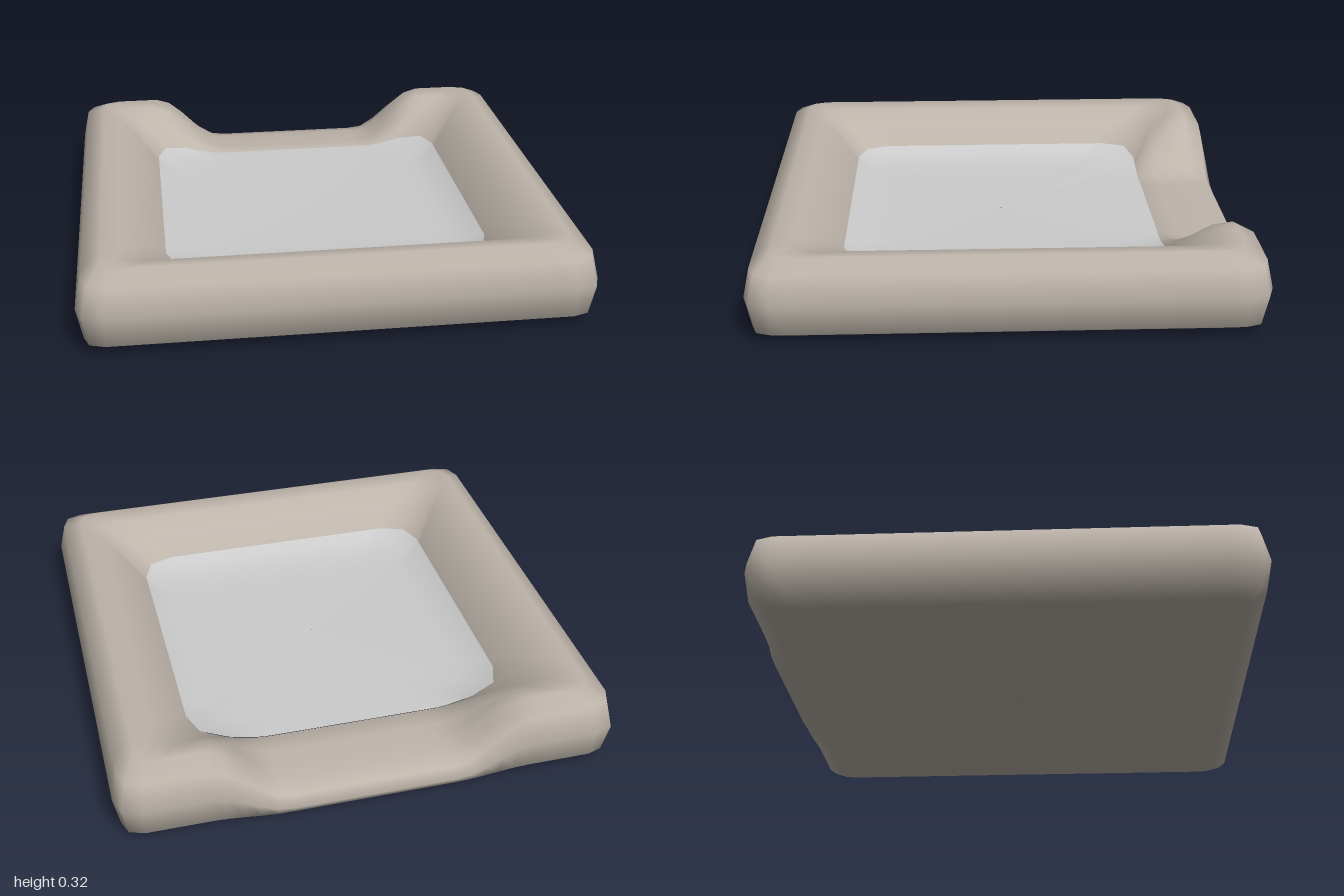
import * as THREE from 'three';

const STEPS = 28; // divisions along each side

// 1 in the middle of the back entrance, fading to 0 towards the back corners
function entrance(x, z) {
  return z < 0 && Math.abs(x) < -z ? 1 - THREE.MathUtils.smoothstep(Math.abs(x), 0.34, 0.64) : 0;
}

// Square loop with clipped corners: half width r, corner cut c,
// height y that changes to low at the entrance
function loop(r, c, y, low) {
  const side = [];
  for (let i = 0; i <= STEPS; i++) side.push([(r - c) * (2 * i / STEPS - 1), r]);
  side.push([r - c * 0.26, r - c * 0.26]);
  const points = [];
  for (let k = 0; k < 4; k++) {
    for (const p of side) {
      let [x, z] = p;
      for (let n = 0; n < k; n++) [x, z] = [z, -x];
      points.push(x, THREE.MathUtils.lerp(y, low, entrance(x, z)), z);
    }
  }
  return points;
}

// Skin through successive loops
function skin(name, sections, color) {
  const position = sections.flatMap((s) => loop(...s));
  const n = 4 * (STEPS + 2);
  const index = [];
  for (let j = 0; j < sections.length - 1; j++) {
    for (let i = 0; i < n; i++) {
      const k = (i + 1) % n;
      const a = j * n + i, b = j * n + k, c = b + n, d = a + n;
      index.push(a, b, d, b, c, d);
    }
  }
  const geometry = new THREE.BufferGeometry();
  geometry.setAttribute('position', new THREE.Float32BufferAttribute(position, 3));
  geometry.setIndex(index);
  geometry.computeVertexNormals();
  const mesh = new THREE.Mesh(geometry, new THREE.MeshStandardMaterial({ color }));
  mesh.name = name;
  return mesh;
}

export function createModel() {
  const group = new THREE.Group();
  group.name = 'petBed';

  // padded rim with its flat underside, lowered at the back
  group.add(skin('paddedRim', [
    [0.002, 0.001, 0, 0],
    [0.86, 0.04, 0, 0],
    [0.91, 0.05, 0.003, 0],
    [0.975, 0.08, 0.04, 0.015],
    [1, 0.1, 0.165, 0.055],
    [0.975, 0.09, 0.28, 0.1],
    [0.9, 0.08, 0.323, 0.118],
    [0.82, 0.09, 0.31, 0.122],
    [0.74, 0.11, 0.26, 0.125],
    [0.65, 0.14, 0.18, 0.128],
    [0.6, 0.14, 0.1, 0.08],
  ], 0xbdb4aa));

  // shallow cushion, curling up where it meets the rim
  group.add(skin('cushion', [
    [0.65, 0.14, 0.182, 0.13],
    [0.6, 0.13, 0.158, 0.13],
    [0.53, 0.11, 0.142, 0.13],
    [0.42, 0.08, 0.133, 0.13],
    [0.002, 0.001, 0.13, 0.13],
  ], 0xcccccc));

  return group;
}
